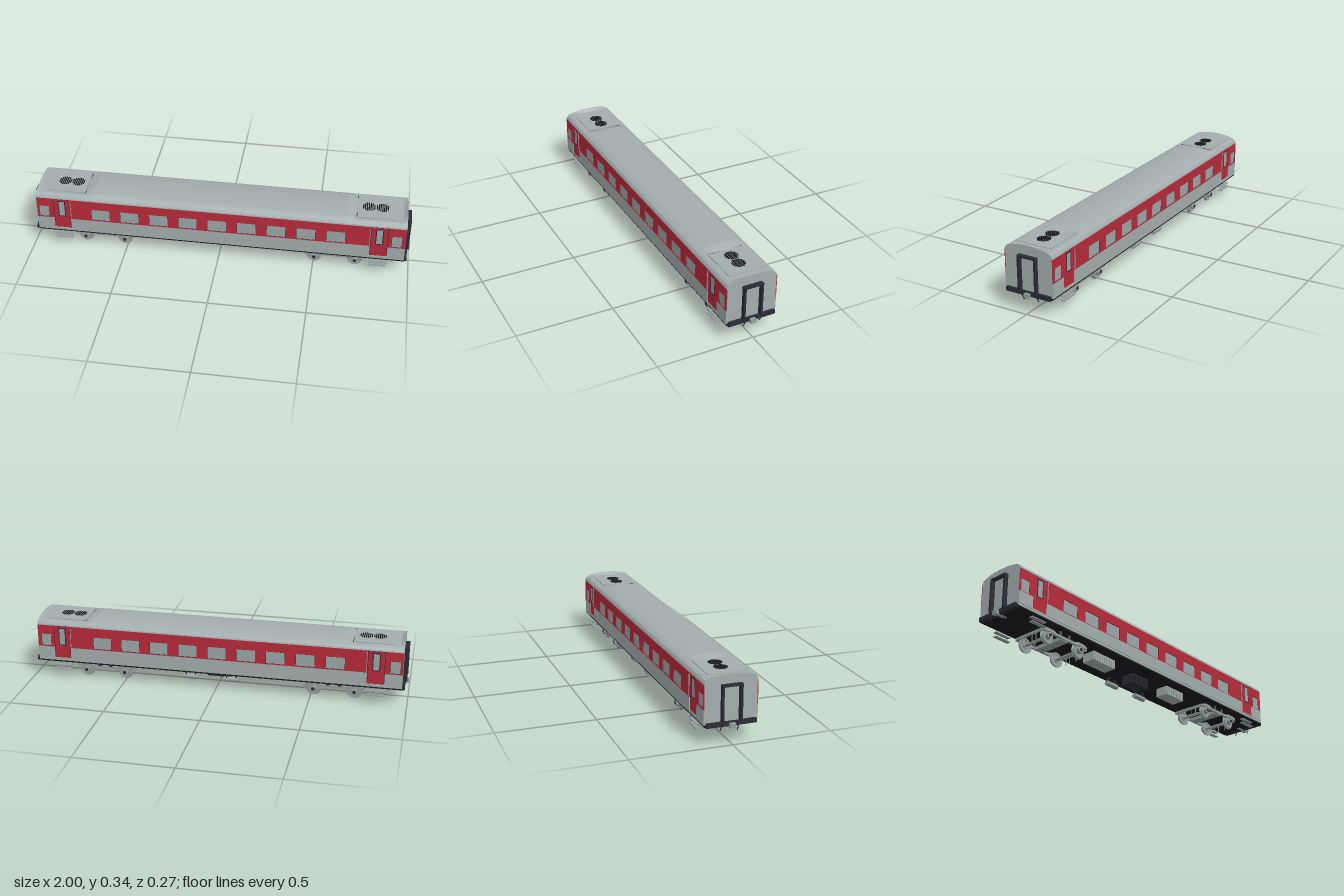
import * as THREE from 'three';

const mat = (name, color, extra = {}) => Object.assign(new THREE.MeshStandardMaterial({ color, ...extra }), { name });

export function createModel() {
  const grey = mat('body grey', 0xa3adad);
  const red = mat('band red', 0xb82a3a);
  const dark = mat('dark rubber', 0x2a2b34);
  const black = mat('underfloor black', 0x191a1d);
  const glass = mat('window glass', 0x9ca7a8);
  const metal = mat('running gear grey', 0x949d9d);

  const model = new THREE.Group();
  model.name = 'passengerCoach';
  const add = (name, geo, m, parent = model) => {
    const mesh = new THREE.Mesh(geo, m);
    mesh.name = name;
    parent.add(mesh);
    return mesh;
  };
  // Box given by its limits on each axis
  const box = (name, m, x0, x1, y0, y1, z0, z1, parent) => {
    const b = add(name, new THREE.BoxGeometry(x1 - x0, y1 - y0, z1 - z0), m, parent);
    b.position.set((x0 + x1) / 2, (y0 + y1) / 2, (z0 + z1) / 2);
    return b;
  };
  // Cylinder along x or z
  const rod = (name, m, axis, r, len, x, y, z, parent, sides = 20) => {
    const g = new THREE.CylinderGeometry(r, r, len, sides);
    if (axis === 'z') g.rotateX(Math.PI / 2);
    else g.rotateZ(Math.PI / 2);
    add(name, g, m, parent).position.set(x, y, z);
  };

  // Body shell and roof: one cross-section, clamped lower over the end decks
  const half = [[0.13, 0.1], [0.13, 0.294], [0.134, 0.296], [0.132, 0.303], [0.125, 0.314],
    [0.112, 0.321], [0.097, 0.327], [0.074, 0.331], [0.05, 0.335], [0.025, 0.3365]];
  const profile = [...half, [0, 0.337], ...half.slice().reverse().map(([z, y]) => [-z, y])];
  const stations = [[-0.97, 0.337], [-0.95, 0.322], [-0.72, 0.32], [-0.665, 0.337],
    [0.665, 0.337], [0.72, 0.32], [0.95, 0.322], [0.97, 0.337]];
  const rings = stations.map(([x, top]) => profile.map(([z, y]) => [x, Math.min(y, top), z]));
  const pos = [];
  const n = profile.length;
  for (let s = 0; s < rings.length - 1; s++) {
    for (let i = 0; i < n; i++) {
      const j = (i + 1) % n;
      const a = rings[s][i], b = rings[s + 1][i], c = rings[s + 1][j], d = rings[s][j];
      pos.push(...a, ...b, ...c, ...a, ...c, ...d);
    }
  }
  for (let i = 0; i < n; i++) {
    const j = (i + 1) % n, last = rings.length - 1;
    pos.push(-0.97, 0.2, 0, ...rings[0][i], ...rings[0][j]);
    pos.push(0.97, 0.2, 0, ...rings[last][j], ...rings[last][i]);
  }
  const shell = new THREE.BufferGeometry();
  shell.setAttribute('position', new THREE.Float32BufferAttribute(pos, 3));
  shell.computeVertexNormals();
  add('bodyShellAndRoof', shell, grey);
  box('underfloor', black, -0.972, 0.972, 0.09, 0.1, -0.13, 0.13);

  // Window openings: [centre x, width]
  const windows = [[-0.932, 0.055], [0.925, 0.055]];
  for (let i = 0; i < 9; i++) windows.push([-0.627 + i * 0.155, 0.1]);
  const [wy0, wy1] = [0.178, 0.246];
  const rect = (C, x0, x1, y0, y1) => {
    const p = new C();
    p.moveTo(x0, y0);
    p.lineTo(x1, y0);
    p.lineTo(x1, y1);
    p.lineTo(x0, y1);
    p.closePath();
    return p;
  };

  for (const s of [1, -1]) {
    const wall = new THREE.Group();
    wall.name = s > 0 ? 'frontSide' : 'backSide';
    model.add(wall);
    // Side box measured outward from the centre line
    const side = (name, m, x0, x1, y0, y1, z0, z1) =>
      box(name, m, x0, x1, y0, y1, Math.min(s * z0, s * z1), Math.max(s * z0, s * z1), wall);

    // Wall panels between the doors, with a red band pierced for the windows
    for (const [x0, x1] of [[-0.97, -0.88], [-0.79, 0.79], [0.88, 0.97]]) {
      side('lowerPanel', grey, x0, x1, 0.115, 0.175, 0.13, 0.134);
      const band = rect(THREE.Shape, x0, x1, 0.175, 0.295);
      for (const [cx, w] of windows) {
        if (cx > x0 && cx < x1) band.holes.push(rect(THREE.Path, cx - w / 2, cx + w / 2, wy0, wy1));
      }
      const g = new THREE.ExtrudeGeometry(band, { depth: 0.004, bevelEnabled: false });
      add('redBand', g, red, wall).position.z = s > 0 ? 0.13 : -0.134;
    }
    side('lowerRail', grey, -0.97, 0.97, 0.11, 0.115, 0.13, 0.134);
    side('sill', grey, -0.97, 0.97, 0.098, 0.109, 0.124, 0.1325);

    for (const [cx, w] of windows) {
      side('windowGasket', dark, cx - w / 2, cx + w / 2, wy0, wy1, 0.13, 0.1305);
      side('windowPane', glass, cx - w / 2 + 0.002, cx + w / 2 - 0.002, wy0 + 0.002, wy1 - 0.002, 0.13, 0.131);
    }

    // Entrance doors with window, handrail and steps
    for (const e of [-1, 1]) {
      const c = e * 0.835;
      side('doorGap', dark, c - 0.045, c + 0.045, 0.115, 0.295, 0.13, 0.1305);
      side('door', red, c - 0.042, c + 0.042, 0.115, 0.292, 0.13, 0.132);
      side('doorWindowFrame', dark, c - 0.02, c + 0.02, 0.186, 0.284, 0.13, 0.1325);
      side('doorWindow', glass, c - 0.015, c + 0.015, 0.191, 0.279, 0.13, 0.133);
      side('handrail', grey, e * 0.787 - 0.0015, e * 0.787 + 0.0015, 0.18, 0.288, 0.134, 0.137);
      for (const y of [0.05, 0.073]) side('step', metal, c - 0.046, c + 0.046, y - 0.002, y + 0.002, 0.113, 0.135);
    }
  }

  for (const e of [-1, 1]) {
    const end = new THREE.Group();
    end.name = e > 0 ? 'leftEnd' : 'rightEnd';
    model.add(end);
    const eb = (name, m, x0, x1, y0, y1, z0, z1) =>
      box(name, m, Math.min(e * x0, e * x1), Math.max(e * x0, e * x1), y0, y1, z0, z1, end);

    // Gangway surround, door and buffer beam
    for (const s of [-1, 1]) eb('gangwayPost', dark, 0.965, 0.992, 0.108, 0.29, s * 0.046 - 0.005, s * 0.046 + 0.005);
    eb('gangwayTop', dark, 0.965, 0.992, 0.28, 0.29, -0.051, 0.051);
    eb('gangwayDoor', grey, 0.965, 0.973, 0.11, 0.28, -0.037, 0.037);
    eb('doorEdge', dark, 0.965, 0.9715, 0.11, 0.28, -0.041, 0.041);
    eb('bufferBeam', dark, 0.96, 0.984, 0.088, 0.11, -0.124, 0.124);

    // Coupler and hoses
    eb('couplerShank', metal, 0.93, 0.985, 0.086, 0.1, -0.008, 0.008);
    eb('couplerHead', metal, 0.98, 1, 0.082, 0.104, -0.014, 0.014);
    for (const [z, y] of [[0.035, 0.057], [-0.049, 0.064]]) {
      const path = new THREE.CatmullRomCurve3([[0.985, 0.1], [0.98, 0.086], [0.966, y]]
        .map(([x, h]) => new THREE.Vector3(e * x, h, z)));
      add('hose', new THREE.TubeGeometry(path, 8, 0.0025, 8), dark, end);
    }

    // Roof hatch with two round louvred grilles
    eb('roofHatch', grey, 0.715, 0.92, 0.315, 0.325, -0.095, 0.095);
    eb('hatchSeam', dark, 0.709, 0.712, 0.315, 0.3225, -0.095, 0.095);
    for (const gx of [0.77, 0.84]) {
      for (let k = -3; k <= 3; k++) {
        const dx = k * 0.0095;
        const h = Math.sqrt(0.034 ** 2 - dx ** 2);
        eb('grilleSlat', black, gx + dx - 0.003, gx + dx + 0.003, 0.32, 0.3265, -h, h);
      }
    }

    // Bogie
    const bogie = new THREE.Group();
    bogie.name = 'bogie';
    bogie.position.x = e > 0 ? 0.612 : -0.62;
    model.add(bogie);
    const tyre = [[0.008, -0.008], [0.014, -0.008], [0.015, -0.003], [0.029, -0.003], [0.031, -0.006],
      [0.04, -0.006], [0.04, -0.002], [0.036, 0], [0.035, 0.007], [0.03, 0.007], [0.029, 0.003],
      [0.015, 0.003], [0.014, 0.008], [0.008, 0.008]].map(([r, y]) => new THREE.Vector2(r, y));
    for (const x of [-0.107, 0.107]) {
      rod('axle', metal, 'z', 0.008, 0.19, x, 0.04, 0, bogie);
      for (const s of [-1, 1]) {
        const g = new THREE.LatheGeometry(tyre, 32).toNonIndexed();
        g.computeVertexNormals();
        g.rotateX(s * Math.PI / 2);
        add('wheel', g, metal, bogie).position.set(x, 0.04, s * 0.076);
        rod('axleBox', metal, 'z', 0.017, 0.016, x, 0.042, s * 0.092, bogie);
        rod('axleCap', dark, 'z', 0.009, 0.002, x, 0.042, s * 0.1005, bogie);
        for (const z of [0.022, 0.048]) {
          const bx = x * 1.42;
          box('brakeHanger', metal, bx - 0.0015, bx + 0.0015, 0.02, 0.062, s * z - 0.0015, s * z + 0.0015, bogie);
        }
      }
      box('headstock', metal, x * 1.42 - 0.005, x * 1.42 + 0.005, 0.054, 0.068, -0.09, 0.09, bogie);
    }
    // Side frames dip between the axles
    const f = new THREE.Shape([[-0.15, 0.058], [-0.13, 0.058], [-0.107, 0.064], [-0.075, 0.056], [0.075, 0.056],
      [0.107, 0.064], [0.13, 0.058], [0.15, 0.058], [0.15, 0.07], [0.125, 0.078], [0.085, 0.078], [0.06, 0.069],
      [-0.06, 0.069], [-0.085, 0.078], [-0.125, 0.078], [-0.15, 0.07]].map(([x, y]) => new THREE.Vector2(x, y)));
    for (const s of [-1, 1]) {
      add('sideFrame', new THREE.ExtrudeGeometry(f, { depth: 0.012, bevelEnabled: false }), metal, bogie)
        .position.z = s > 0 ? 0.086 : -0.098;
      for (const x of [-0.03, 0.03]) {
        const g = new THREE.CylinderGeometry(0.01, 0.01, 0.024, 16);
        add('spring', g, dark, bogie).position.set(x, 0.08, s * 0.091);
      }
    }
    box('bolster', metal, -0.025, 0.025, 0.052, 0.07, -0.09, 0.09, bogie);
    box('pivot', black, -0.02, 0.02, 0.068, 0.092, -0.02, 0.02, bogie);
  }

  // Ribbed equipment boxes and air tanks below the floor
  for (const [name, m, rib, x0, x1, y0, z0, z1] of [
    ['batteryBox', grey, metal, -0.395, -0.235, 0.043, 0, 0.073],
    ['compressorBox', dark, black, -0.065, 0.06, 0.037, -0.03, 0.045],
    ['converterBox', grey, metal, 0.18, 0.32, 0.043, 0, 0.073]]) {
    box(name, m, x0, x1, y0, 0.092, z0, z1);
    for (let i = 0; i < 9; i++) {
      const x = x0 + (x1 - x0) * (i + 0.5) / 9;
      box(name + 'Rib', rib, x - 0.002, x + 0.002, y0 + 0.006, 0.082, z1, z1 + 0.003);
    }
  }
  for (const x of [-0.08, 0.14]) {
    rod('airTank', metal, 'x', 0.014, 0.078, x, 0.053, -0.09);
    for (const d of [-0.025, 0.025]) box('tankStrap', dark, x + d - 0.002, x + d + 0.002, 0.06, 0.092, -0.1, -0.08);
  }
  return model;
}
